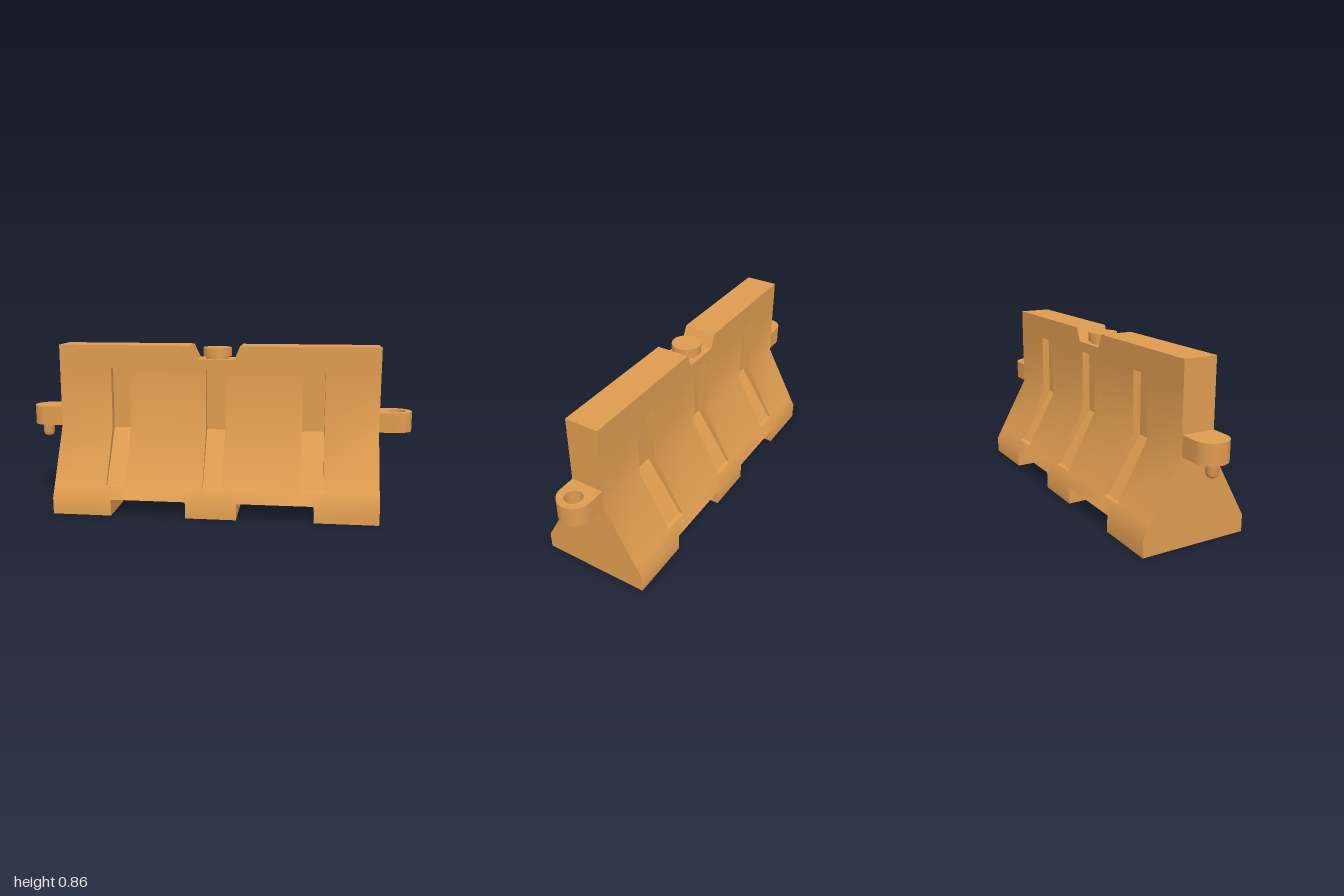
import * as THREE from 'three';
import { mergeVertices, toCreasedNormals } from 'three/addons/utils/BufferGeometryUtils.js';

const material = new THREE.MeshStandardMaterial({ color: 0xdf9c50 });
const HALF = 0.83;      // half length of the body
const WALL = 0.085;     // half thickness of the upper wall

// recess, foot gap and top notch positions along x
const frontSlots = [[-0.555, -0.455], [-0.055, 0.045], [0.44, 0.555]];
const backSlots = [[-0.56, -0.44], [-0.06, 0.06], [0.42, 0.55]];
const gaps = [[-0.525, -0.14], [0.12, 0.51]];
const notch = [[-0.14, 0.86], [-0.105, 0.79], [0.09, 0.79], [0.12, 0.86]];

const inside = (ranges, x) => ranges.some(([a, b]) => x > a && x < b);

function topHeight(x) {
  for (let i = 0; i < 3; i++) {
    const [x0, y0] = notch[i], [x1, y1] = notch[i + 1];
    if (x >= x0 && x <= x1) return y0 + (y1 - y0) * (x - x0) / (x1 - x0);
  }
  return 0.86;
}

// one side of the cross-section from foot to top, as [z, y]
function halfProfile(bottom, top, slotted) {
  const recess = slotted
    ? [[0.222, 0.15], [0.045, 0.42], [0.045, 0.74]]
    : [[0.242, 0.145], [WALL, 0.43], [WALL, 0.74]];
  return [[0.275, bottom], [0.275, 0.085], [0.242, 0.145], ...recess, [WALL, 0.74], [WALL, top]];
}

// closed cross-section at x; mid decides which features apply
function section(x, mid) {
  const bottom = inside(gaps, mid) ? 0.085 : 0;
  const top = topHeight(x);
  const front = halfProfile(bottom, top, inside(frontSlots, mid));
  const back = halfProfile(bottom, top, inside(backSlots, mid)).reverse();
  return [
    ...front.map(([z, y]) => new THREE.Vector3(x, y, z)),
    ...back.map(([z, y]) => new THREE.Vector3(x, y, -z)),
  ];
}

function bodyGeometry() {
  const xs = [-HALF, HALF, ...frontSlots.flat(), ...backSlots.flat(), ...gaps.flat(), ...notch.map(p => p[0])];
  const stations = [...new Set(xs)].sort((a, b) => a - b);
  const rings = [];
  for (let i = 0; i < stations.length - 1; i++) {
    const [a, b] = [stations[i], stations[i + 1]];
    rings.push(section(a, (a + b) / 2), section(b, (a + b) / 2));
  }

  const positions = [];
  const triangle = new THREE.Triangle();
  const tri = (a, b, c) => {
    if (triangle.set(a, b, c).getArea() > 1e-8) {
      for (const p of [a, b, c]) positions.push(p.x, p.y, p.z);
    }
  };
  const quad = (a, b, c, d) => { tri(a, b, c); tri(a, c, d); };

  // skin between neighbouring rings; rings sharing an x form the step walls
  const n = rings[0].length;
  for (let r = 0; r < rings.length - 1; r++) {
    const A = rings[r], B = rings[r + 1];
    for (let i = 0; i < n; i++) {
      const j = (i + 1) % n;
      quad(A[i], B[i], B[j], A[j]);
    }
  }
  // end caps
  const L = rings[0], R = rings[rings.length - 1];
  for (let i = 0; i < n / 2 - 1; i++) {
    const k = n - 1 - i;
    quad(R[i], R[k], R[k - 1], R[i + 1]);
    quad(L[k], L[i], L[i + 1], L[k - 1]);
  }
  const geometry = new THREE.BufferGeometry();
  geometry.setAttribute('position', new THREE.Float32BufferAttribute(positions, 3));
  return toCreasedNormals(mergeVertices(geometry), Math.PI / 6);
}

// round-ended coupling lug pointing along +x
function lugGeometry(withHole) {
  const r = 0.083, cx = 1 - r;
  const shape = new THREE.Shape();
  shape.moveTo(HALF - 0.01, -r);
  shape.lineTo(cx, -r);
  shape.absarc(cx, 0, r, -Math.PI / 2, Math.PI / 2, false);
  shape.lineTo(HALF - 0.01, r);
  shape.closePath();
  if (withHole) {
    const hole = new THREE.Path();
    hole.absarc(0.925, 0, 0.043, 0, Math.PI * 2, true);
    shape.holes.push(hole);
  }
  const geometry = new THREE.ExtrudeGeometry(shape, { depth: 0.1, bevelEnabled: false, curveSegments: 24 });
  geometry.rotateX(-Math.PI / 2).translate(0, 0.43, 0);
  return toCreasedNormals(geometry, Math.PI / 6);
}

function turned(points) {
  const geometry = new THREE.LatheGeometry(points.map(([r, y]) => new THREE.Vector2(r, y)), 32);
  return toCreasedNormals(geometry, Math.PI / 6);
}

export function createModel() {
  const group = new THREE.Group();
  const add = (name, geometry, x = 0) => {
    const mesh = new THREE.Mesh(geometry, material);
    mesh.name = name;
    mesh.position.x = x;
    group.add(mesh);
    return mesh;
  };

  add('barrierBody', bodyGeometry());

  // coupling lugs: one with an eye, one with a pin
  add('eyeLug', lugGeometry(true));
  add('pinLug', lugGeometry(false)).rotation.y = Math.PI;
  add('couplingPin', turned([[0, 0.355], [0.014, 0.358], [0.025, 0.367], [0.03, 0.382], [0.03, 0.44]]), -0.935);

  // filler neck and cap in the top notch
  add('fillerNeck', turned([[0.06, 0.78], [0.06, 0.81]]), -0.005);
  add('fillerCap', turned([[0, 0.802], [0.074, 0.802], [0.074, 0.848], [0, 0.848]]), -0.005);

  return group;
}
